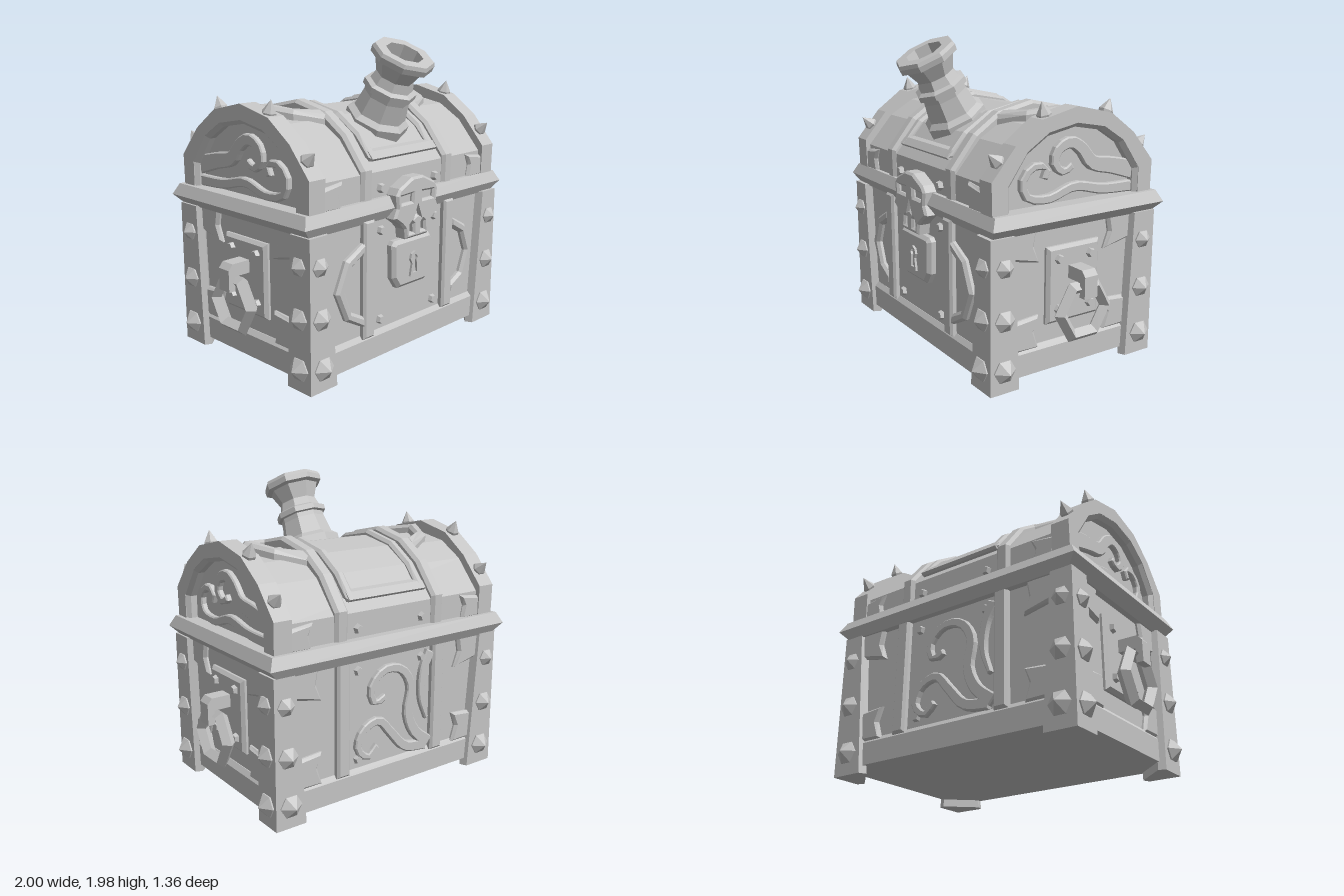
import * as THREE from 'three';

const stone = new THREE.MeshStandardMaterial({ color: 0xc4c4c4 });
stone.name = 'stone grey';

export function createModel() {
  const chest = new THREE.Group();
  chest.name = 'treasureChest';

  // Adds a mesh with faceted normals
  const add = (name, geo) => {
    const g = geo.index ? geo.toNonIndexed() : geo;
    g.computeVertexNormals();
    const m = new THREE.Mesh(g, stone);
    m.name = name;
    chest.add(m);
    return m;
  };
  const box = (x0, x1, y0, y1, z0, z1) =>
    new THREE.BoxGeometry(x1 - x0, y1 - y0, z1 - z0).translate((x0 + x1) / 2, (y0 + y1) / 2, (z0 + z1) / 2);
  // Outline wound one way, so that holes can be wound the other way
  const outline = (pts, ccw = true) => {
    const v = pts.map(([x, y]) => new THREE.Vector2(x, y));
    return (THREE.ShapeUtils.area(v) > 0) === ccw ? v : v.reverse();
  };
  const extrude = (pts, length, bevel, holes = []) => {
    const s = new THREE.Shape(outline(pts));
    s.holes = holes.map((h) => new THREE.Path(outline(h, false)));
    return new THREE.ExtrudeGeometry(s, {
      depth: length, bevelEnabled: bevel > 0, bevelSize: bevel,
      bevelThickness: bevel, bevelOffset: -bevel, bevelSegments: 1,
    });
  };
  // Plate with its bevelled front at z = depth
  const plate = (pts, depth, bevel = 0, holes) => extrude(pts, depth - bevel, bevel, holes);
  // (z, y) section swept along x from x0 to x1
  const prism = (pts, x0, x1, bevel = 0) =>
    extrude(pts, x1 - x0 - 2 * bevel, bevel).rotateY(-Math.PI / 2).translate(x1 - bevel, 0, 0);
  // Faces of the chest: turn, and sign of the world axis along the face
  const faces = { front: [0, 1], back: [Math.PI, -1], right: [Math.PI / 2, -1], left: [-Math.PI / 2, 1] };
  const onFace = (name, face, pts, off, depth, bevel = 0) => {
    const [turn, sign] = faces[face];
    const g = plate(pts.map(([u, v]) => [u * sign, v]), depth, bevel);
    return add(name, g.translate(0, 0, off).rotateY(turn));
  };
  // Symmetric arch outline from its half
  const arch = (half) => [...half, ...half.slice(0, -1).reverse().map(([z, y]) => [-z, y])];
  // Tapered outline following a smooth path
  const ribbon = (pts, w0, w1) => {
    const curve = new THREE.CatmullRomCurve3(pts.map(([x, y]) => new THREE.Vector3(x, y, 0)));
    const a = [], b = [], n = 22;
    for (let i = 0; i <= n; i++) {
      const p = curve.getPointAt(i / n), t = curve.getTangentAt(i / n);
      const w = w0 + (w1 - w0) * i / n;
      a.push([p.x - t.y * w, p.y + t.x * w]);
      b.unshift([p.x + t.y * w, p.y - t.x * w]);
    }
    return [...a, ...b];
  };
  // Tapered box
  const frustum = (hx0, hz0, y0, hx1, hz1, y1, cz) => {
    const g = new THREE.BoxGeometry(2, 1, 2), p = g.attributes.position;
    for (let i = 0; i < p.count; i++) {
      const top = p.getY(i) > 0;
      p.setXYZ(i, p.getX(i) * (top ? hx1 : hx0), top ? y1 : y0, p.getZ(i) * (top ? hz1 : hz0) + cz);
    }
    return g;
  };
  // Stud or spike pointing along dir
  const up = new THREE.Vector3(0, 1, 0);
  const point = (name, geo, pos, dir) => {
    const m = add(name, geo);
    m.position.set(...pos);
    m.quaternion.setFromUnitVectors(up, new THREE.Vector3(...dir).normalize());
  };
  const lathe = (pts, n, phase = 0) => new THREE.LatheGeometry(pts.map(([x, y]) => new THREE.Vector2(x, y)), n, phase);
  const spike = (r, h, phase) => lathe([[r * 0.9, -0.02], [r, 0.01], [0, h]], 6, phase);
  const nail = (pos, dir) => point('nail', new THREE.CylinderGeometry(0.024, 0.037, 0.04, 5), pos, dir);

  // Body and base rails
  add('body', box(-0.81, 0.81, 0.05, 0.95, -0.56, 0.56));
  add('baseRail', frustum(0.84, 0.585, 0.05, 0.84, 0.585, 0.19, 0));
  add('baseRailBevel', frustum(0.84, 0.585, 0.19, 0.815, 0.562, 0.22, 0));

  // Rim
  add('rimLower', frustum(0.85, 0.59, 0.92, 0.915, 0.63, 0.985, -0.013));
  add('rimUpper', frustum(0.915, 0.63, 0.985, 0.88, 0.595, 1.055, -0.013));

  // Corner legs: angle-shaped, tapering and chamfered on the inner sides
  const legSection = [[0.875, 0.608], [0.665, 0.608], [0.645, 0.56], [0.83, 0.39], [0.875, 0.41]];
  for (const sx of [1, -1]) for (const sz of [1, -1]) {
    const g = extrude(legSection.map(([x, z]) => [x * sx, -z * sz]), 0.93, 0).rotateX(-Math.PI / 2);
    const p = g.attributes.position;
    for (let i = 0; i < p.count; i++) if (p.getY(i) > 0.5) {
      if (Math.abs(p.getX(i)) < 0.7) p.setX(i, p.getX(i) + 0.068 * sx);
      if (Math.abs(p.getZ(i)) < 0.5) p.setZ(i, p.getZ(i) + 0.037 * sz);
    }
    add('leg', g);
    for (const [y, x, r, h] of [[0.14, 0.775, 0.074, 0.065], [0.445, 0.79, 0.068, 0.058], [0.755, 0.8, 0.058, 0.052]]) {
      point('legSpike', spike(r, h, Math.PI / 6), [x * sx, y, 0.607 * sz], [0, 0, sz]);
      point('legSpike', spike(r, h), [0.875 * sx, y, 0.515 * sz], [sx, 0, 0]);
    }
  }

  // Lid barrel with a framed field, and arched ends
  const barrel = [[0.556, 1.03], [0.556, 1.21], [0.387, 1.405], [0.222, 1.503], [0, 1.54]];
  const outer = [[0.583, 1.04], [0.588, 1.245], [0.43, 1.43], [0.25, 1.56], [0, 1.617]];
  const inner = [[0.48, 1.04], [0.48, 1.21], [0.35, 1.39], [0.2, 1.485], [0, 1.522]];
  const lip = [[0.455, 1.04], [0.455, 1.2], [0.335, 1.37], [0.193, 1.46], [0, 1.496]];
  add('lidBarrel', prism(arch(barrel), -0.76, 0.76));
  add('lidField', prism(arch([[0.47, 1.29], [0.505, 1.29], [0.394, 1.418], [0.227, 1.517], [0, 1.557]]), -0.28, 0.28));
  for (const d of [1, -1]) {
    const bar = [[0.47, 1.27], [0.525, 1.27], [0.54, 1.285], [0.505, 1.325], [0.44, 1.34]];
    add('lidFrameEnd', prism(bar.map(([z, y]) => [z * d, y]), -0.3, 0.3));
  }
  for (const s of [1, -1]) {
    const side = (a, b) => (s > 0 ? [a, b] : [-b, -a]);
    add('lidFrameSide', prism(arch([[0.47, 1.27], [0.54, 1.285], [0.418, 1.43], [0.242, 1.542], [0, 1.59]]), ...side(0.245, 0.31), 0.018));
    add('lidEndArch', prism([...arch(outer), ...arch(inner).reverse()], ...side(0.735, 0.855)));
    add('lidEndChamfer', prism([...arch(outer), ...arch(lip).reverse()], ...side(0.74, 0.852), 0.025));
    add('lidEndPanel', prism(arch(inner), ...side(0.7, 0.785)));

    // Bands over the lid and down the body
    const c = s * 0.378;
    add('lidBand', prism(arch([[0.575, 1.04], [0.58, 1.235], [0.42, 1.435], [0.245, 1.553], [0, 1.606]]), c - 0.048, c + 0.048, 0.02));
    for (const f of ['front', 'back'])
      onFace('bodyBand', f, [[c - 0.048, 0.2], [c + 0.048, 0.2], [c + 0.048, 0.94], [c - 0.048, 0.94]], 0.54, 0.06, 0.015);

    // Lid spikes
    for (const [z, y, nz, ny] of [[0.51, 1.34, 1, 0.8], [0.2, 1.572, 0.24, 1], [-0.25, 1.56, -0.45, 1], [-0.51, 1.34, -1, 0.8]])
      point('lidSpike', spike(0.045, 0.085, Math.PI / 6), [0.8 * s, y, z], [0, ny, nz]);

    // Half rings on the front and on top of the lid
    const half = [[0.41, 0.815], [0.57, 0.73], [0.652, 0.545], [0.57, 0.36], [0.41, 0.275],
      [0.41, 0.345], [0.525, 0.405], [0.578, 0.545], [0.525, 0.68], [0.41, 0.745]];
    onFace('frontHalfRing', 'front', half.map(([x, y]) => [x * s, y]), 0.54, 0.058, 0.018);
    const top = [[0.4, -0.3], [0.6, -0.2], [0.705, -0.01], [0.6, 0.18], [0.4, 0.28],
      [0.4, 0.205], [0.55, 0.125], [0.615, -0.01], [0.55, -0.145], [0.4, -0.225]];
    const ring = plate(top.map(([x, z]) => [x * s, -z]), 0.1, 0.02).rotateX(-Math.PI / 2);
    const p = ring.attributes.position;
    for (let i = 0; i < p.count; i++) {
      const z = Math.abs(p.getZ(i));
      const drop = z < 0.22 ? z * 0.18 : 0.04 + (z - 0.22) * 0.62;
      p.setY(i, p.getY(i) + 1.5 - drop);
    }
    add('lidHalfRing', ring);

    // Notched corner straps
    const lidTag = [[0.75, 1.18], [0.58, 1.2], [0.61, 1.13], [0.59, 1.04], [0.75, 1.04]];
    for (const f of ['front', 'back'])
      onFace('lidStrap', f, lidTag.map(([x, y]) => [x * s, y]), 0.53, 0.05, 0.018);
    const tags = [[[0.46, 0.94], [0.46, 0.77], [0.24, 0.725], [0.28, 0.83], [0.26, 0.94]],
      [[0.44, 0.39], [0.24, 0.405], [0.275, 0.31], [0.24, 0.2], [0.44, 0.2]]];
    for (const t of tags) {
      for (const f of ['right', 'left']) onFace('sideStrap', f, t.map(([z, y]) => [z * s, y]), 0.79, 0.05, 0.018);
      onFace('backStrap', 'back', t.map(([z, y]) => [(z + 0.29) * s, y]), 0.54, 0.05, 0.018);
    }

    // Nails on the front and back
    for (const y of [0.28, 0.85, 1.11]) for (const d of [1, -1])
      nail([0.253 * s, y, 0.565 * d], [0, 0, d]);
  }

  // Carved scrolls
  const endScrolls = [
    ribbon([[-0.47, 1.19], [-0.3, 1.235], [-0.15, 1.27], [-0.07, 1.36], [0.01, 1.405], [0.1, 1.37], [0.125, 1.29], [0.06, 1.235], [0, 1.27]], 0.06, 0.02),
    ribbon([[-0.47, 1.09], [-0.23, 1.1], [-0.02, 1.14], [0.17, 1.09], [0.32, 1.12], [0.345, 1.22], [0.27, 1.29], [0.18, 1.27], [0.2, 1.21]], 0.035, 0.02),
  ];
  for (const f of ['right', 'left']) for (const r of endScrolls) onFace('endScroll', f, r, 0.775, 0.045, 0.008);
  const backScrolls = [
    ribbon([[-0.32, 0.26], [-0.2, 0.36], [-0.14, 0.5], [-0.16, 0.68], [-0.08, 0.8], [0.06, 0.82], [0.16, 0.72], [0.13, 0.62], [0.05, 0.65]], 0.042, 0.02),
    ribbon([[-0.3, 0.25], [-0.12, 0.28], [0, 0.4], [0.1, 0.5], [0.22, 0.46], [0.26, 0.35], [0.18, 0.28], [0.11, 0.34]], 0.037, 0.02),
    ribbon([[-0.32, 0.88], [-0.26, 0.75], [-0.25, 0.58], [-0.3, 0.43]], 0.037, 0.015),
  ];
  for (const r of backScrolls) onFace('backScroll', 'back', r, 0.55, 0.04, 0.008);

  // Side handles
  for (const [f, s] of [['right', 1], ['left', -1]]) {
    onFace('handlePlate', f, [[-0.2, 0.33], [0.19, 0.33], [0.19, 0.805], [-0.2, 0.805]], 0.79, 0.055, 0.02);
    for (const z of [0.112, -0.122]) for (const y of [0.42, 0.73]) nail([0.85 * s, y, z], [s, 0, 0]);
    const hook = [[0.82, 0.68], [0.97, 0.68], [1.0, 0.645], [1.0, 0.51], [0.955, 0.51], [0.955, 0.6], [0.82, 0.6]];
    add('handleBracket', plate(hook.map(([x, y]) => [x * s, y]), 0.095).translate(0, 0, -0.055));
    add('handleRing', new THREE.TorusGeometry(0.168, 0.043, 4, 6).rotateY(Math.PI / 2).translate(0.932 * s, 0.42, -0.007));
  }

  // Lock with keyhole
  const lock = [[-0.165, 0.765], [0.165, 0.765], [0.187, 0.74], [0.18, 0.53], [0.13, 0.457], [-0.13, 0.457], [-0.18, 0.53], [-0.187, 0.74]];
  onFace('lock', 'front', lock, 0.54, 0.075, 0.022);
  const keyhole = (k, foot) => {
    const pts = [];
    for (let i = 0; i <= 6; i++) {
      const a = -0.9 + i * (Math.PI + 1.8) / 6;
      pts.push([Math.cos(a) * k, 0.635 + Math.sin(a) * k]);
    }
    return [...pts, [-k, foot], [k, foot]];
  };
  add('keyholeFrame', plate(keyhole(0.043, 0.52), 0.018, 0, [keyhole(0.022, 0.54)]).translate(0, 0, 0.612));

  // Skull clasp: pierced mask over a backing
  const mirror = (h) => [...h, ...h.slice().reverse().map(([x, y]) => [-x, y])];
  const skull = mirror([[0.05, 1.155], [0.165, 1.1], [0.195, 1.06], [0.185, 0.98], [0.215, 0.92], [0.15, 0.875], [0.115, 0.84], [0.105, 0.775]]);
  const eye = (s) => [[0.05 * s, 1.005], [0.145 * s, 1.005], [0.15 * s, 1.05], [0.045 * s, 1.055]];
  const tooth = (s) => [[0.035 * s, 0.81], [0.07 * s, 0.81], [0.066 * s, 0.86], [0.052 * s, 0.872], [0.038 * s, 0.86]];
  const nose = [[0, 0.97], [0.03, 0.9], [0, 0.92], [-0.03, 0.9]];
  add('skullMask', plate(skull, 0.135, 0.014, [eye(1), eye(-1), tooth(1), tooth(-1), nose]).translate(0, 0, 0.51));
  add('skullBacking', box(-0.17, 0.17, 0.895, 1.08, 0.5, 0.619));
  add('jawBacking', box(-0.09, 0.09, 0.79, 0.9, 0.5, 0.61));

  // Cannon leaning forward out of the lid
  const cannon = add('cannon', lathe([
    [0.2, -0.1], [0.205, 0.07], [0.17, 0.1], [0.148, 0.22], [0.148, 0.25], [0.17, 0.255], [0.17, 0.29], [0.14, 0.305],
    [0.122, 0.36], [0.165, 0.455], [0.197, 0.465], [0.2, 0.5], [0.19, 0.523], [0.12, 0.523], [0.1, 0.3], [0, 0.3],
  ], 8));
  cannon.position.set(0, 1.43, 0.275);
  cannon.rotation.x = 0.48;

  return chest;
}
